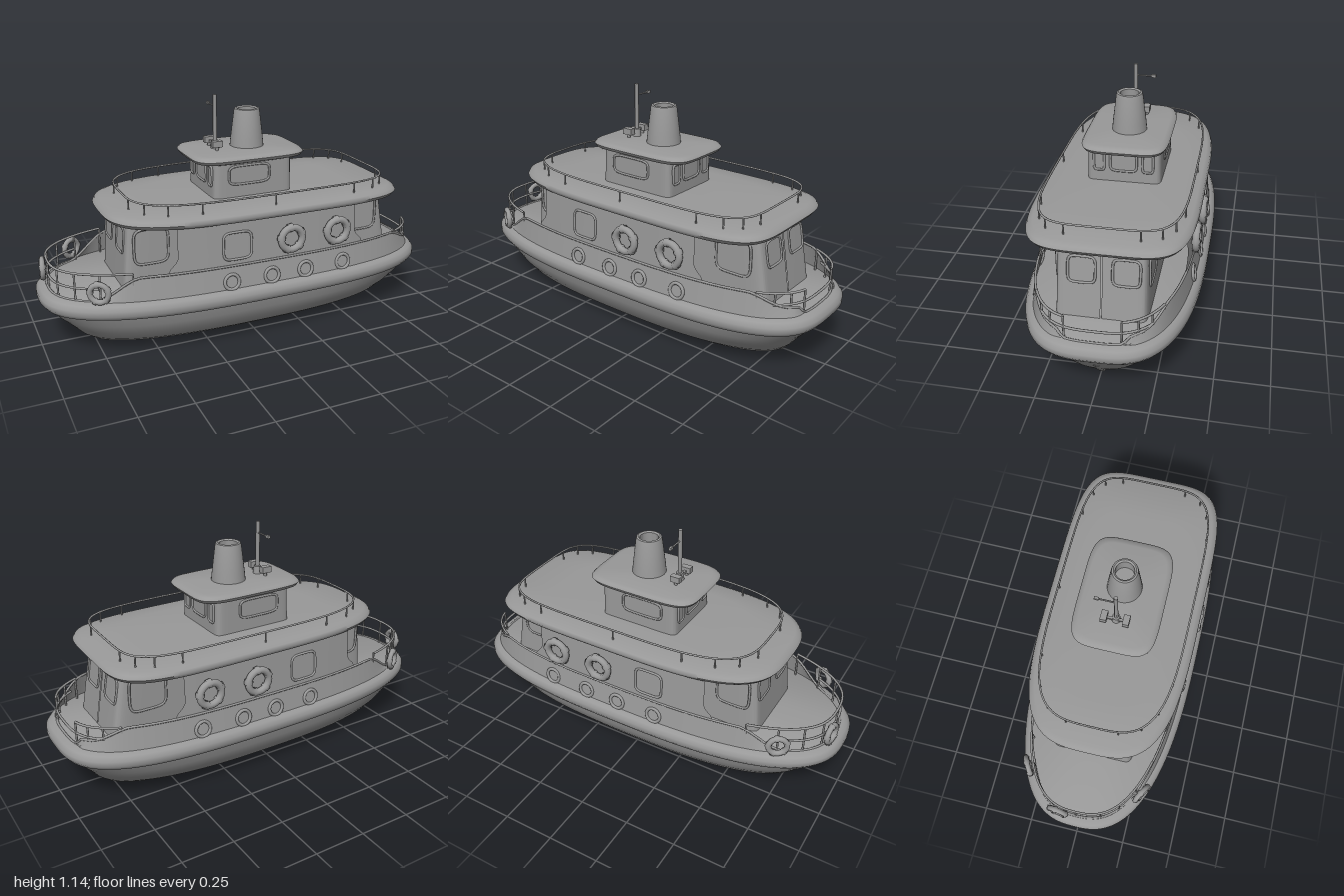
import * as THREE from 'three';
import { toCreasedNormals } from 'three/addons/utils/BufferGeometryUtils.js';

const grey = new THREE.MeshStandardMaterial({ color: 0x999999, side: THREE.DoubleSide });
grey.name = 'plain grey';
const V = (x, y, z) => new THREE.Vector3(x, y, z);
const lerp = THREE.MathUtils.lerp;
const step = THREE.MathUtils.smoothstep;

export function createModel() {
  const boat = new THREE.Group();
  boat.name = 'ferryBoat';

  const add = (name, geo, pos, parent = boat) => {
    const m = new THREE.Mesh(geo, grey);
    m.name = name;
    if (pos) m.position.copy(pos);
    parent.add(m);
    return m;
  };

  // Point on a superellipse plan outline; nBack and nFore shape the -x and +x ends
  const plan = (t, y, cx, a, b, nBack, nFore = nBack) => {
    const c = Math.cos(t), s = Math.sin(t), e = 2 / (c < 0 ? nBack : nFore);
    return V(cx + a * Math.sign(c) * Math.abs(c) ** e, y, b * Math.sign(s) * Math.abs(s) ** e);
  };

  // Grid surface from fn(u, v), u around and v up
  const surface = (nu, nv, fn, crease = 0.6) => {
    const pos = [], idx = [];
    for (let j = 0; j <= nv; j++) for (let i = 0; i <= nu; i++) pos.push(...fn(i / nu, j / nv).toArray());
    for (let j = 0; j < nv; j++) for (let i = 0; i < nu; i++) {
      const a = j * (nu + 1) + i, c = a + nu + 1;
      idx.push(a, c, a + 1, a + 1, c, c + 1);
    }
    const g = new THREE.BufferGeometry();
    g.setAttribute('position', new THREE.Float32BufferAttribute(pos, 3));
    g.setIndex(idx);
    return toCreasedNormals(g, crease);
  };

  // Closed body from rings [y, cx, a, b, nBack, nFore], capped at both ends
  const loft = (rings, crease) => {
    const cap = r => [r[0], r[1], 0, 0, 2, 2];
    const all = [cap(rings[0]), ...rings, cap(rings[rings.length - 1])];
    const n = all.length - 1;
    return surface(128, n, (u, v) => plan(u * Math.PI * 2, ...all[Math.round(v * n)]), crease);
  };

  const tube = (pts, r, closed = false, segs = 48) =>
    new THREE.TubeGeometry(new THREE.CatmullRomCurve3(pts, closed), segs, r, 6, closed);
  const post = (name, p, y0, y1, r = 0.005) =>
    add(name, new THREE.CylinderGeometry(r, r, y1 - y0, 6), V(p.x, (y0 + y1) / 2, p.z));

  // Rounded window frame mapped onto any face by place(u, v)
  const frame = (name, u0, v0, w, h, place) => {
    const pts = [];
    for (let i = 0; i < 32; i++) {
      const p = plan(i / 32 * Math.PI * 2, 0, 0, w / 2, h / 2, 5);
      pts.push(place(u0 + p.x, v0 + p.z));
    }
    add(name, tube(pts, 0.006, true, 64));
  };

  // Hull with rubbing rail and keel; the +x end is a little blunter
  const N = 2.6, F = 3.1;
  add('hull', loft([
    [0.012, 0.015, 0.77, 0.1, N], [0.035, 0.012, 0.8, 0.25, N], [0.07, 0.008, 0.838, 0.305, N],
    [0.12, 0.004, 0.88, 0.345, N, 2.8], [0.17, 0, 0.927, 0.367, N, 3], [0.225, 0, 0.97, 0.38, N, F]], 0.8));
  add('rubbingRail', loft([
    [0.22, 0, 0.96, 0.375, N, F], [0.225, 0, 0.985, 0.4, N, F], [0.245, 0, 1, 0.412, N, F],
    [0.27, 0, 1, 0.412, N, F], [0.29, 0, 0.985, 0.402, N, F], [0.3, 0, 0.965, 0.385, N, F]], 0.9));
  add('keel', loft([[0, 0.015, 0.77, 0.03, 5], [0.03, 0.012, 0.8, 0.032, 5], [0.12, 0.004, 0.884, 0.04, 4]]));

  // Bulwark that sweeps down at both ends
  const top = x => x > 0
    ? 0.41 - 0.07 * step(x, 0.74, 0.92) - 0.04 * step(x, 0.925, 0.94)
    : lerp(0.41, 0.3, step(-x, 0.58, 0.8));
  add('bulwark', surface(128, 4, (u, v) => {
    const p = plan(u * Math.PI * 2, 0, 0, lerp(0.965, 0.95, v), lerp(0.38, 0.362, v), N, F);
    p.y = lerp(0.295, top(p.x), v);
    return p;
  }));
  const capPts = [];
  for (let i = 0; i < 96; i++) {
    const p = plan(i / 96 * Math.PI * 2, 0, 0, 0.95, 0.362, N, F);
    capPts.push(p.setY(top(p.x)));
  }
  add('bulwarkCap', tube(capPts, 0.006, true, 160));

  // Side position following the bulwark, then leaning in slightly up to the roof
  const side = (x, y, s, out = 0) => {
    const k = Math.min(1, (y - 0.295) / 0.115), n = x < 0 ? N : F;
    const b = lerp(0.38, 0.362, k) - Math.max(0, y - 0.41) * 0.06;
    return V(x, y, s * (b * (1 - Math.abs(x / lerp(0.965, 0.95, k)) ** n) ** (1 / n) + out));
  };

  const lifeRing = (p, nx, nz, size = 1) => {
    const g = new THREE.Group();
    g.name = 'lifeRing';
    g.position.copy(p);
    g.rotation.y = Math.atan2(nx, nz);
    g.scale.setScalar(size);
    add('ring', new THREE.TorusGeometry(0.055, 0.017, 10, 32), null, g);
    for (let i = 0; i < 5; i++) {
      const band = add('ringBand', new THREE.TorusGeometry(0.055, 0.021, 10, 5, 0.35), null, g);
      band.rotation.z = i * Math.PI * 0.4 + 0.3;
    }
    boat.add(g);
  };

  for (const s of [1, -1]) {
    // Outer wall amidships, flaring into the bulwark at its foot
    add('sideWall', surface(24, 10, (u, v) => {
      const y = lerp(0.41, 0.645, v), flare = 0.05 * (1 - step(v, 0, 0.3));
      return side(lerp(-0.42 - flare, 0.5 + flare, u), y, s);
    }));
    frame('squareWindowFrame', -0.135, 0.505, 0.14, 0.13, (x, y) => side(x, y, s, 0.002));
    for (const x of [-0.17, 0.035, 0.215, 0.425]) {
      const rim = add('portholeRim', new THREE.TorusGeometry(0.036, 0.008, 8, 24), side(x, 0.335, s, 0.001));
      rim.rotation.x = -s * 0.155;
    }
    for (const x of [0.135, 0.385]) lifeRing(side(x, 0.505, s, 0.02), 0, s);
    lifeRing(V(-0.775, 0.355, s * 0.29), -0.5, s * 0.86, 0.78);
    // Cabin side windows at the open ends of the passage
    frame('cabinSideWindowFrame', -0.502, 0.505, 0.165, 0.17, (x, y) => V(x, y, s * 0.204));
    frame('cabinSideWindowFrame', 0.615, 0.505, 0.18, 0.17, (x, y) => V(x, y, s * 0.204));
  }
  lifeRing(V(-0.955, 0.355, -0.09), -1, -0.15, 0.78);

  // Inner cabin with raked ends and two windows in each
  add('cabin', loft([[0.295, 0.0775, 0.7125, 0.207, 20], [0.64, 0.0625, 0.6675, 0.2, 20]]));
  for (const z of [-0.11, 0.085]) for (const e of [1, -1])
    frame('cabinEndWindowFrame', z, 0.52, 0.12, 0.12,
      (u, v) => V(e > 0 ? 0.79 - (v - 0.295) * 0.174 : -0.635 + (v - 0.295) * 0.087, v, u));

  // Main roof and its railing
  add('mainRoof', loft([
    [0.618, 0.055, 0.71, 0.35, 3.3, 5], [0.622, 0.055, 0.735, 0.372, 3.3, 5],
    [0.64, 0.055, 0.748, 0.382, 3.3, 5], [0.657, 0.055, 0.738, 0.376, 3.3, 5],
    [0.667, 0.055, 0.715, 0.355, 3.3, 5], [0.675, 0.06, 0.5, 0.25, 3.3, 5]], 0.9));
  const roofRail = t => plan(t, 0.72, 0.07, 0.655, 0.333, 3.6, 5);
  const loop = [];
  for (let i = 0; i < 64; i++) loop.push(roofRail(i / 64 * Math.PI * 2));
  add('roofRail', tube(loop, 0.005, true, 160));
  for (let i = 0; i < 18; i++) post('roofRailPost', roofRail((i + 0.5) / 18 * Math.PI * 2), 0.66, 0.72, 0.004);

  // Deck railings at both ends
  const deckRail = (t0, t1, y, posts) => {
    const at = k => plan(lerp(t0, t1, k), y, 0, 0.945, 0.362, N, F);
    add('deckRail', tube(Array.from({ length: 17 }, (_, i) => at(i / 16)), 0.006));
    for (let i = 0; i < posts; i++) post('deckRailPost', at(i / (posts - 1)), 0.295, y);
  };
  deckRail(0.19, 0.73, 0.41, 4);
  deckRail(-0.73, -0.19, 0.41, 4);
  deckRail(-0.65, 0.65, 0.355, 0);
  deckRail(Math.PI - 0.95, Math.PI + 0.95, 0.43, 9);
  deckRail(Math.PI - 0.7, Math.PI + 0.7, 0.36, 0);

  // Wheelhouse with windows all round
  add('wheelhouse', loft([[0.66, 0.03, 0.205, 0.176, 14], [0.85, 0.03, 0.2, 0.172, 14]]));
  for (const e of [1, -1]) {
    for (const [z, w] of [[0, 0.125], [0.115, 0.05], [-0.115, 0.05]])
      frame('wheelhouseWindowFrame', z, 0.777, w, 0.095, (u, v) => V(0.03 + e * 0.203, v, u));
    frame('wheelhouseSideWindowFrame', 0.005, 0.782, 0.21, 0.09, (u, v) => V(u, v, e * 0.174));
  }
  add('wheelhouseRoof', loft([
    [0.838, 0.03, 0.255, 0.178, 5], [0.845, 0.03, 0.277, 0.197, 5], [0.86, 0.03, 0.286, 0.204, 5],
    [0.873, 0.03, 0.275, 0.196, 5], [0.878, 0.03, 0.25, 0.178, 5]], 0.9));

  // Hollow funnel
  const funnel = [[0.084, 0.87], [0.079, 0.92], [0.063, 1.05], [0.06, 1.06], [0.052, 1.063], [0.044, 1.057], [0.046, 0.99], [0, 0.99]];
  add('funnel', toCreasedNormals(new THREE.LatheGeometry(funnel.map(p => new THREE.Vector2(...p)), 32), 0.7), V(0.068, 0, 0));

  // Mast with side arm and deck lamps
  post('mast', V(-0.1, 0, 0), 0.87, 1.14, 0.01);
  add('mastArm', new THREE.CylinderGeometry(0.004, 0.004, 0.09, 6).rotateX(Math.PI / 2), V(-0.1, 1.083, -0.045));
  add('mastLamp', new THREE.BoxGeometry(0.012, 0.014, 0.022), V(-0.1, 1.083, -0.088));
  add('mastFoot', new THREE.CylinderGeometry(0.018, 0.022, 0.04, 12), V(-0.1, 0.895, 0));
  for (const z of [-0.055, 0.05]) {
    add('roofLamp', new THREE.BoxGeometry(0.05, 0.03, 0.03), V(-0.11, 0.91, z));
    post('roofLampStand', V(-0.11, 0, z), 0.875, 0.9, 0.008);
  }
  add('lampBar', new THREE.BoxGeometry(0.012, 0.01, 0.1), V(-0.11, 0.905, 0));
  return boat;
}
